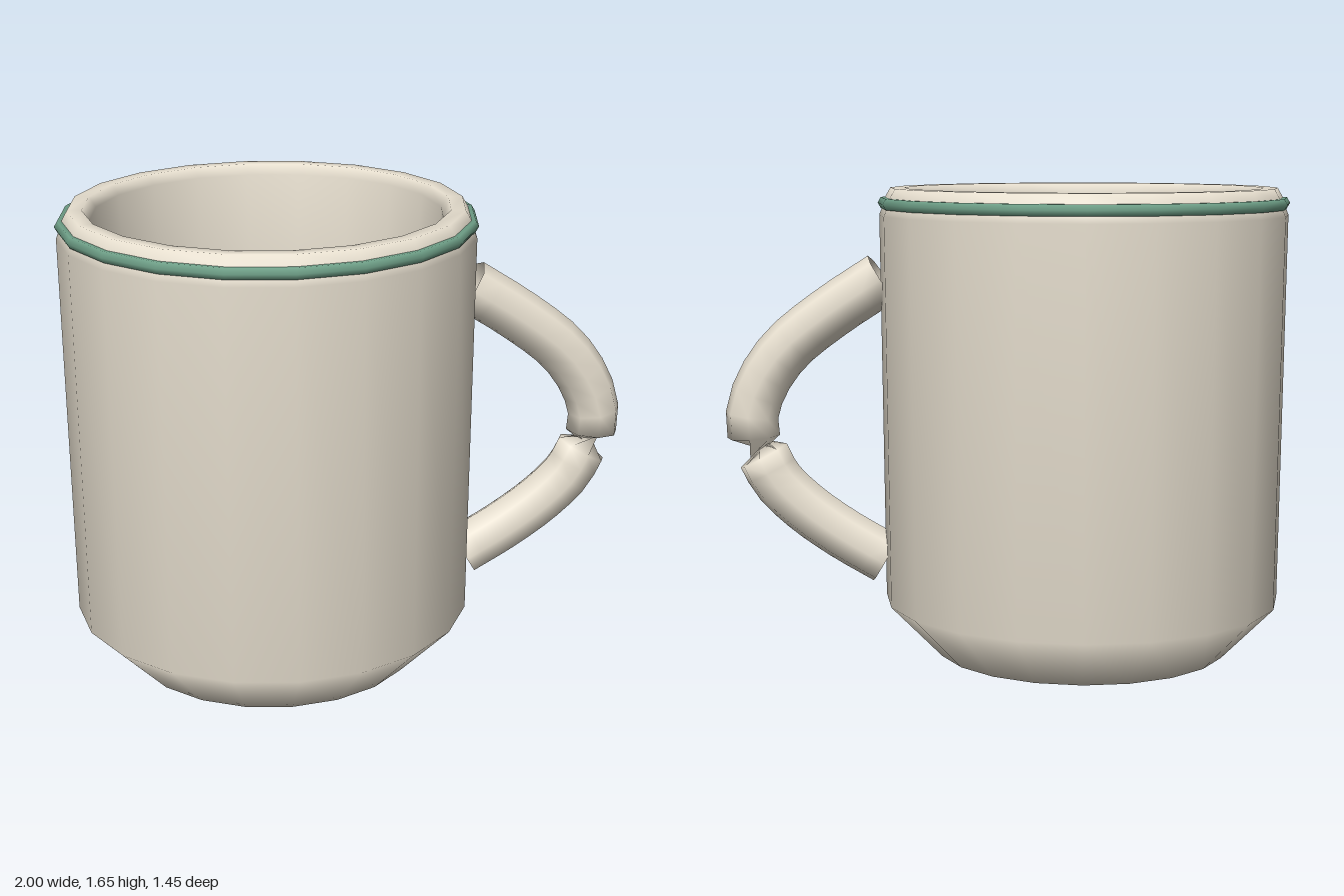
import * as THREE from 'three';

const SIDES = 20;
const CENTRE_X = -0.28;

function part(name, geometry, color, side = THREE.FrontSide) {
  const mesh = new THREE.Mesh(geometry, new THREE.MeshStandardMaterial({ color, side }));
  mesh.name = name;
  return mesh;
}

const pathCurve = (points) =>
  new THREE.CatmullRomCurve3(points.map(([x, y]) => new THREE.Vector3(x, y, 0)));

// Handle tube: the cross-section turns half a circle between its two arms,
// which pinches the tube where they meet.
function handleGeometry(radius, sides, rings) {
  const arms = [
    { turn: 0, curve: pathCurve([[0.43, 1.335], [0.62, 1.21], [0.78, 1.08], [0.87, 0.95], [0.905, 0.84], [0.9, 0.765]]) },
    { turn: Math.PI, curve: pathCurve([[0.865, 0.695], [0.82, 0.61], [0.72, 0.51], [0.58, 0.41], [0.425, 0.32]]) },
  ];
  const positions = [];
  const indices = [];
  for (const { turn, curve } of arms) {
    for (let i = 0; i <= rings; i++) {
      const p = curve.getPointAt(i / rings);
      const t = curve.getTangentAt(i / rings);
      for (let j = 0; j < sides; j++) {
        const a = (j / sides) * Math.PI * 2 + turn;
        const out = Math.cos(a) * radius;
        positions.push(p.x - t.y * out, p.y + t.x * out, Math.sin(a) * radius);
      }
    }
  }
  const ringCount = positions.length / 3 / sides;
  for (let i = 0; i < ringCount - 1; i++) {
    for (let j = 0; j < sides; j++) {
      const a = i * sides + j;
      const b = i * sides + ((j + 1) % sides);
      indices.push(a, b, a + sides, b, b + sides, a + sides);
    }
  }
  const geometry = new THREE.BufferGeometry();
  geometry.setAttribute('position', new THREE.Float32BufferAttribute(positions, 3));
  geometry.setIndex(indices);
  geometry.computeVertexNormals();
  return geometry;
}

export function createModel() {
  const model = new THREE.Group();
  model.name = 'mug';
  const cream = 0xe8e0d0;

  // Body: outer wall, rim and inner wall in one turned profile
  const profile = [
    [0, 0], [0.52, 0], [0.705, 0.19], [0.72, 1.56], [0.71, 1.585], [0.7, 1.62],
    [0.68, 1.655], [0.63, 1.655], [0.605, 1.62], [0.585, 1.33], [0.56, 0.2], [0, 0.15],
  ].map(([r, y]) => new THREE.Vector2(r, y));
  const body = part('body', new THREE.LatheGeometry(profile, SIDES), cream);

  // Coloured band under the rim, with a hairline seam beside the handle
  const band = part('rimBand',
    new THREE.TorusGeometry(0.703, 0.022, 6, SIDES, 6.275).rotateX(Math.PI / 2), 0x6fa088);
  band.position.y = 1.602;

  // Drink surface
  const drink = part('drink', new THREE.CircleGeometry(0.585, SIDES).rotateX(-Math.PI / 2), 0x4a3528);
  drink.position.y = 1.33;

  const cup = new THREE.Group();
  cup.name = 'cup';
  cup.position.x = CENTRE_X;
  cup.add(body, band, drink);

  const handle = part('handle', handleGeometry(0.095, 8, 10), cream, THREE.DoubleSide);
  model.add(cup, handle);
  return model;
}
